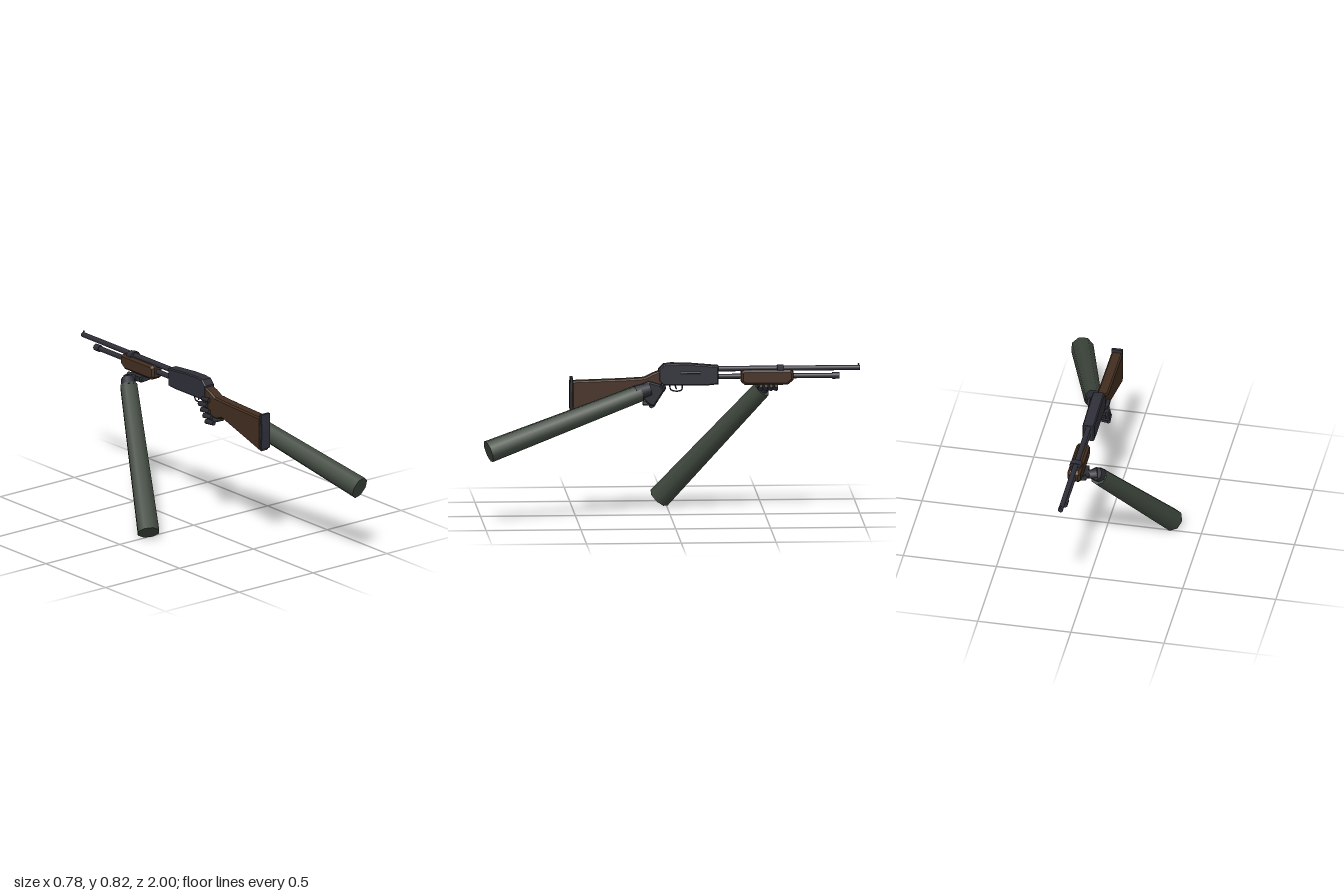
import * as THREE from 'three';

const mat = (name, color) => {
  const m = new THREE.MeshStandardMaterial({ color });
  m.name = name;
  return m;
};

export function createModel() {
  const metal = mat('gunMetal', 0x2f2f39);
  const wood = mat('walnut', 0x432e20);
  const glove = mat('glove', 0x2b2d34);
  const sleeve = mat('sleeve', 0x3e473d);
  const model = new THREE.Group();
  const GX = 0.057; // centre plane of the gun

  const add = (parent, name, geometry, material) => {
    const mesh = new THREE.Mesh(geometry, material);
    mesh.name = name;
    parent.add(mesh);
    return mesh;
  };
  const group = (name) => {
    const g = new THREE.Group();
    g.name = name;
    model.add(g);
    return g;
  };
  const box = (parent, name, size, pos, material) => {
    const m = add(parent, name, new THREE.BoxGeometry(...size), material);
    m.position.set(...pos);
    return m;
  };
  // tapered round bar between two points
  const bar = (parent, name, a, b, ra, rb, material, sides = 8) => {
    const p = new THREE.Vector3(...a), q = new THREE.Vector3(...b);
    const dir = q.clone().sub(p);
    const m = add(parent, name, new THREE.CylinderGeometry(rb, ra, dir.length(), sides), material);
    m.position.copy(p).add(q).multiplyScalar(0.5);
    m.quaternion.setFromUnitVectors(new THREE.Vector3(0, 1, 0), dir.normalize());
    return m;
  };
  // side profile of [z, y] points, extruded across the gun with a small bevel
  const slab = (parent, name, points, width, material, bevel = 0.006, x = GX) => {
    const shape = new THREE.Shape(points.map(([z, y]) => new THREE.Vector2(z, y)));
    const g = new THREE.ExtrudeGeometry(shape, {
      depth: width - 2 * bevel, bevelEnabled: bevel > 0, bevelSize: bevel,
      bevelOffset: -bevel, bevelThickness: bevel, bevelSegments: 1,
    });
    g.rotateY(-Math.PI / 2).translate(x + width / 2 - bevel, 0, 0);
    return add(parent, name, g, material);
  };

  // ---- gun ----
  const gun = group('gun');
  slab(gun, 'stock', [
    [0.522, 0.547], [0.522, 0.733], [0.25, 0.741], [0.14, 0.747], [0.10, 0.768], [0.055, 0.785],
    [0.04, 0.72], [0.06, 0.69], [0.11, 0.63], [0.155, 0.628], [0.2, 0.645],
  ], 0.06, wood, 0.008);
  slab(gun, 'buttPlate', [
    [0.522, 0.56], [0.533, 0.56], [0.536, 0.66], [0.533, 0.752], [0.518, 0.752], [0.518, 0.735],
  ], 0.06, metal, 0.002);
  slab(gun, 'receiver', [
    [0.065, 0.73], [0.065, 0.79], [0.04, 0.817], [0, 0.822], [-0.09, 0.82], [-0.25, 0.806],
    [-0.25, 0.71], [-0.2, 0.705], [0.04, 0.705],
  ], 0.063, metal, 0.006);
  box(gun, 'ejectionPort', [0.004, 0.026, 0.1], [GX + 0.0325, 0.778, -0.1], metal);
  bar(gun, 'boltHandle', [GX + 0.033, 0.773, -0.05], [GX + 0.033, 0.773, -0.155], 0.006, 0.006, metal, 6);
  bar(gun, 'barrel', [GX, 0.789, -0.24], [GX, 0.789, -0.998], 0.0145, 0.0135, metal, 12);
  add(gun, 'beadSight', new THREE.SphereGeometry(0.005, 8, 6), metal).position.set(GX, 0.808, -0.99);
  bar(gun, 'magazineTube', [GX, 0.748, -0.24], [GX, 0.748, -0.87], 0.0135, 0.0135, metal, 12);
  bar(gun, 'magazineCap', [GX, 0.748, -0.852], [GX, 0.748, -0.89], 0.018, 0.018, metal, 12);
  bar(gun, 'barrelRing', [GX, 0.789, -0.56], [GX, 0.789, -0.595], 0.019, 0.019, metal, 8)
    .scale.x = 1.75;

  // fore-end with tapered ends
  slab(gun, 'foreEnd', [
    [-0.37, 0.72], [-0.37, 0.772], [-0.385, 0.784], [-0.63, 0.784], [-0.647, 0.77],
    [-0.647, 0.73], [-0.615, 0.704], [-0.39, 0.704],
  ], 0.07, wood, 0.012);

  // trigger and its guard
  const guard = new THREE.CatmullRomCurve3([
    [0.705, 0.005], [0.683, 0.002], [0.674, -0.012], [0.673, -0.045], [0.68, -0.058], [0.705, -0.06],
  ].map(([y, z]) => new THREE.Vector3(GX, y, z)));
  add(gun, 'triggerGuard', new THREE.TubeGeometry(guard, 16, 0.004, 6), metal);
  bar(gun, 'trigger', [GX, 0.71, -0.02], [GX, 0.682, -0.03], 0.005, 0.003, metal, 6);

  // ---- rear arm, gripping the wrist of the stock ----
  const rear = group('rearArm');
  bar(rear, 'rearSleeve', [0.113, 0.672, 0.165], [0.335, 0.4, 0.977], 0.047, 0.061, sleeve);
  bar(rear, 'rearWrist', [0.102, 0.692, 0.115], [0.122, 0.672, 0.19], 0.036, 0.042, glove);
  slab(rear, 'rearPalm', [
    [0.16, 0.715], [0.12, 0.732], [0.06, 0.715], [0.035, 0.685], [0.09, 0.597], [0.115, 0.605], [0.165, 0.65],
  ], 0.034, glove, 0.008, 0.101);
  for (let i = 0; i < 4; i++) {
    const y = 0.688 - i * 0.028, z = 0.036 + i * 0.019, r = 0.0145;
    bar(rear, 'rearFinger', [0.112, y, z + 0.012], [0.02, y - 0.002, z], r, r, glove, 7);
    bar(rear, 'rearFingertip', [0.018, y - 0.002, z - 0.008], [0.02, y, z + 0.052], r, r * 0.8, glove, 7);
  }
  bar(rear, 'rearThumb', [0.022, 0.722, 0.105], [0.021, 0.718, 0.045], 0.013, 0.01, glove, 7);

  // ---- forward arm, supporting the fore-end from below ----
  const front = group('forwardArm');
  bar(front, 'forwardSleeve', [-0.046, 0.663, -0.487], [-0.336, 0.046, 0.038], 0.048, 0.061, sleeve);
  bar(front, 'forwardWrist', [-0.053, 0.66, -0.475], [-0.036, 0.694, -0.51], 0.041, 0.035, glove);
  bar(front, 'forwardHeel', [-0.045, 0.692, -0.505], [0.022, 0.683, -0.515], 0.029, 0.02, glove);
  box(front, 'forwardPalm', [0.07, 0.026, 0.1], [0.042, 0.69, -0.51], glove);
  for (let i = 0; i < 4; i++) {
    const z = -0.468 - i * 0.027, r = 0.0125;
    bar(front, 'forwardFinger', [0.02, 0.681, z], [0.078, 0.684, z - 0.004], r, r, glove, 7);
    bar(front, 'forwardFingertip', [0.074, 0.68, z - 0.004], [0.093, 0.7, z - 0.006], r, r * 0.8, glove, 7);
  }
  bar(front, 'forwardThumb', [-0.002, 0.685, -0.5], [0.012, 0.7, -0.56], 0.015, 0.011, glove, 7);

  return model;
}
